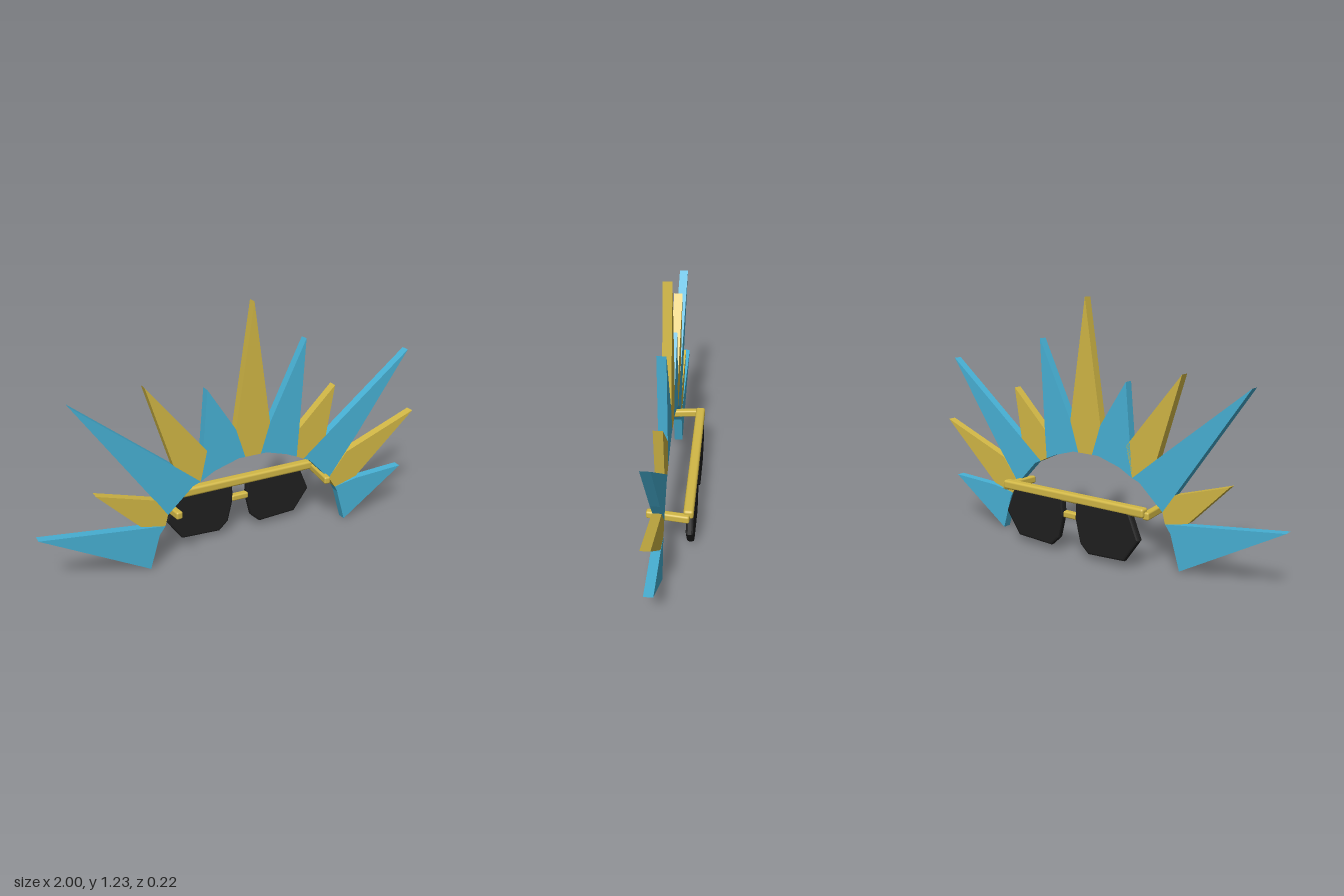
import * as THREE from 'three';
import { RoundedBoxGeometry } from 'three/addons/geometries/RoundedBoxGeometry.js';

const CX = 0.057; // centre line of the glasses

export function createModel() {
  const group = new THREE.Group();
  const blue = new THREE.MeshStandardMaterial({ name: 'skyBlue', color: 0x48b2d6 });
  const gold = new THREE.MeshStandardMaterial({ name: 'gold', color: 0xd2b846 });
  const black = new THREE.MeshStandardMaterial({ name: 'lensBlack', color: 0x1f1f1f });

  const add = (name, geometry, material, x = 0, y = 0, z = 0) => {
    const mesh = new THREE.Mesh(geometry, material);
    mesh.name = name;
    mesh.position.set(x, y, z);
    group.add(mesh);
    return mesh;
  };
  const outline = (pts) => new THREE.Shape(pts.map(([x, y]) => new THREE.Vector2(x, y)));

  // Crown of flat spikes, left to right across the front, alternating blue and gold
  const spikes = [
    [[-0.485, 0], [-0.435, 0.17], [-0.405, 0.21], [-1, 0.285]],
    [[-0.525, 0.235], [-0.405, 0.21], [-0.39, 0.265], [-0.45, 0.355], [-0.73, 0.44]],
    [[-0.39, 0.265], [-0.26, 0.385], [-0.22, 0.4], [-0.355, 0.51], [-0.82, 0.88]],
    [[-0.355, 0.51], [-0.22, 0.4], [-0.185, 0.55], [-0.48, 0.91]],
    [[-0.22, 0.4], [-0.147, 0.44], [-0.02, 0.478], [0.015, 0.478], [-0.035, 0.63], [-0.18, 0.85]],
    [[0.015, 0.478], [0.099, 0.478], [0.147, 0.63], [0.057, 1.23], [-0.035, 0.63]],
    [[0.099, 0.478], [0.13, 0.478], [0.243, 0.445], [0.3, 0.42], [0.31, 0.565], [0.335, 1.02], [0.147, 0.63]],
    [[0.3, 0.42], [0.34, 0.4], [0.465, 0.5], [0.507, 0.76], [0.31, 0.565]],
    [[0.34, 0.4], [0.375, 0.385], [0.495, 0.26], [0.655, 0.475], [0.935, 0.88]],
    [[0.495, 0.26], [0.535, 0.2], [0.66, 0.235], [0.995, 0.54], [0.595, 0.385]],
    [[0.535, 0.2], [0.55, 0.17], [0.6, 0], [0.94, 0.235], [0.66, 0.222]],
  ];
  spikes.forEach((pts, i) => add('spike' + (i + 1),
    new THREE.ExtrudeGeometry(outline(pts), { depth: 0.043, bevelEnabled: false }),
    i % 2 ? gold : blue, 0, 0, 0.023));

  // Lenses, mirrored about the centre line, with a small bevel
  const half = [[0.042, 0.285], [0.037, 0.19], [0.066, 0.07], [0.115, 0.025],
    [0.32, 0.035], [0.402, 0.15], [0.345, 0.285]];
  for (const [side, label] of [[1, 'left'], [-1, 'right']]) {
    add(label + 'Lens', new THREE.ExtrudeGeometry(
      outline(half.map(([x, y]) => [side * x, y])),
      { depth: 0.016, bevelSize: 0.01, bevelThickness: 0.01, bevelOffset: -0.01, bevelSegments: 2 }),
    black, CX, 0, -0.096);

    // Temple arm, leaning inwards towards its free end
    const arm = add(label + 'Temple', new RoundedBoxGeometry(0.033, 0.038, 0.2, 2, 0.009),
      gold, CX + side * 0.416, 0.269, 0.009);
    arm.rotation.y = -side * 0.12;
  }

  // Brow bar and bridge
  add('browBar', new RoundedBoxGeometry(0.848, 0.045, 0.047, 2, 0.012), gold, CX, 0.283, -0.084);
  add('bridge', new RoundedBoxGeometry(0.09, 0.032, 0.034, 2, 0.008), gold, CX, 0.194, -0.081);

  return group;
}
